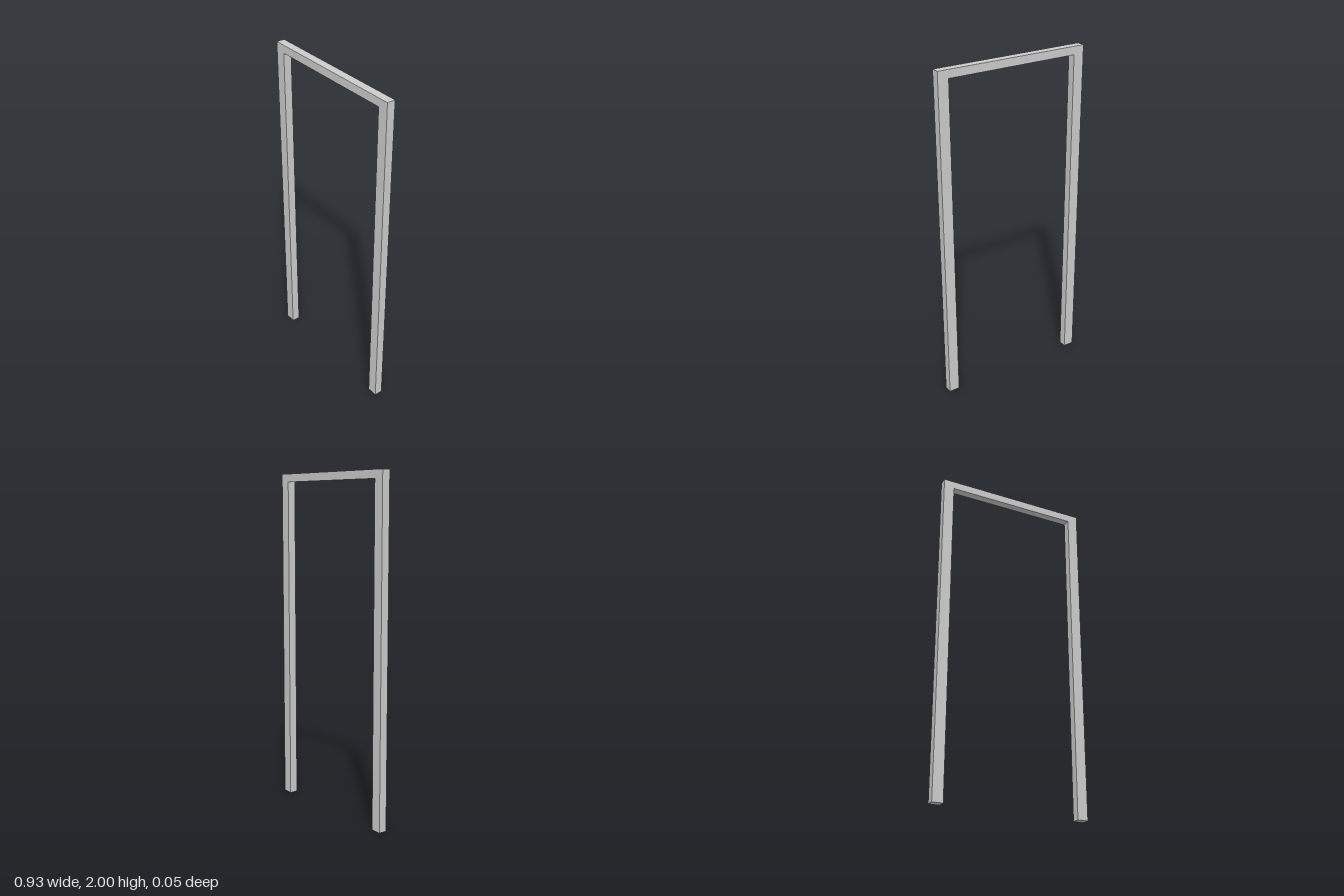
import * as THREE from 'three';

export function createModel() {
  const group = new THREE.Group();
  group.name = 'doorway';

  const outer = 0.467, inner = 0.403; // half widths
  const height = 2, opening = 1.952, depth = 0.049;

  // One continuous outline: two posts joined by the top rail
  const outline = new THREE.Shape([
    [-outer, 0], [-inner, 0], [-inner, opening], [inner, opening],
    [inner, 0], [outer, 0], [outer, height], [-outer, height],
  ].map(([x, y]) => new THREE.Vector2(x, y)));

  const geometry = new THREE.ExtrudeGeometry(outline, { depth, bevelEnabled: false });
  geometry.translate(0, 0, -depth / 2);

  const frame = new THREE.Mesh(
    geometry,
    new THREE.MeshStandardMaterial({ color: 0xcccccc, flatShading: true })
  );
  frame.name = 'doorFrame';
  group.add(frame);
  return group;
}
